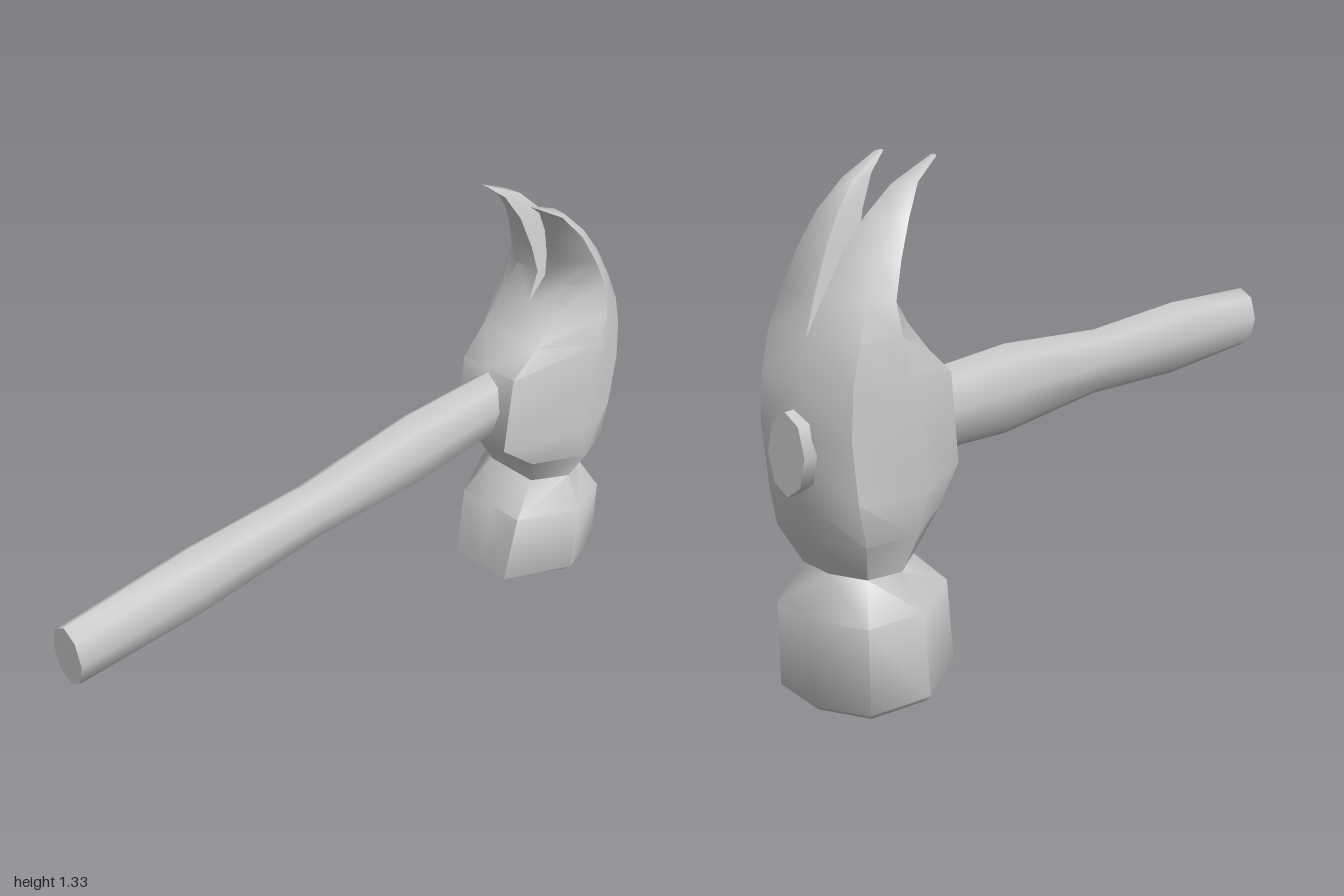
import * as THREE from 'three';
import { mergeVertices, toCreasedNormals } from 'three/addons/utils/BufferGeometryUtils.js';

const material = new THREE.MeshStandardMaterial({ color: 0xcccccc });

// Head sections, bottom to top:
// [front y, front z, back y, back z, front corner x, outer x, inner x]
const BODY = [
  [0.02, -0.555, 0.005, -0.925, 0.09, 0.185, 0],
  [0.035, -0.537, 0.02, -0.942, 0.1, 0.2, 0],
  [0.26, -0.57, 0.24, -0.94, 0.11, 0.2, 0],
  [0.35, -0.66, 0.34, -0.875, 0.08, 0.14, 0],
  [0.46, -0.61, 0.44, -0.93, 0.12, 0.195, 0],
  [0.55, -0.502, 0.55, -0.965, 0.095, 0.195, 0],
  [0.79, -0.525, 0.7, -0.982, 0.095, 0.195, 0],
  [0.86, -0.61, 0.83, -0.962, 0.1, 0.195, 0],
  [0.94, -0.685, 0.93, -0.925, 0.1, 0.195, 0],
];
const CLAW = [
  [1.02, -0.735, 1.02, -0.88, 0.09, 0.178, 0.014],
  [1.1, -0.718, 1.12, -0.825, 0.088, 0.163, 0.028],
  [1.2, -0.68, 1.2, -0.765, 0.086, 0.145, 0.044],
  [1.28, -0.628, 1.27, -0.692, 0.087, 0.118, 0.062],
  [1.33, -0.566, 1.325, -0.58, 0.09, 0.1, 0.078],
];

// Half section from the inner front corner, round the outside, to the inner back corner
function halfRing([yf, zf, yb, zb, corner, outer, inner]) {
  const at = (x, t) => [x, yf + (yb - yf) * t, zf + (zb - zf) * t];
  return [at(inner, 0), at(corner, 0), at(outer, 0.5), at(inner + (outer - inner) * 0.77, 0.9), at(inner, 1)];
}

function headGeometry() {
  const rings = [...BODY, ...CLAW].map(halfRing);
  const positions = [];
  const tri = (a, b, c) => {
    positions.push(...a, ...b, ...c);
    for (const p of [a, c, b]) positions.push(-p[0], p[1], p[2]); // mirrored side
  };
  const lastBody = BODY.length - 1;
  for (let i = 0; i < rings.length - 1; i++) {
    const lower = rings[i], upper = rings[i + 1];
    // The claws also get an inner wall that closes each ring
    const sides = i >= lastBody ? 5 : 4;
    for (let j = 0; j < sides; j++) {
      const k = (j + 1) % 5;
      tri(lower[j], lower[k], upper[k]);
      tri(lower[j], upper[k], upper[j]);
    }
  }
  // Striking face and claw tips
  const first = rings[0], last = rings[rings.length - 1];
  for (let j = 1; j < 4; j++) {
    tri(first[0], first[j + 1], first[j]);
    tri(last[0], last[j], last[j + 1]);
  }
  const geometry = new THREE.BufferGeometry();
  geometry.setAttribute('position', new THREE.Float32BufferAttribute(positions, 3));
  return toCreasedNormals(mergeVertices(geometry), 1.0);
}

// Handle sections, grip end to head end: [z, centre y, half width, half height]
const HANDLE = [
  [1, 0.667, 0.056, 0.093],
  [0.6, 0.667, 0.06, 0.109],
  [0.2, 0.667, 0.056, 0.093],
  [-0.2, 0.667, 0.062, 0.123],
  [-0.52, 0.667, 0.06, 0.108],
  [-1, 0.667, 0.06, 0.103],
];

function handleGeometry() {
  const rows = HANDLE.length - 1;
  const geometry = new THREE.CylinderGeometry(1, 1, 1, 8, rows).rotateX(Math.PI / 2);
  const p = geometry.attributes.position;
  for (let i = 0; i < p.count; i++) {
    const [z, y, w, h] = HANDLE[Math.round((0.5 - p.getZ(i)) * rows)];
    p.setXYZ(i, p.getX(i) * w, y + p.getY(i) * h, z);
  }
  return toCreasedNormals(geometry, 1.4);
}

export function createModel() {
  const model = new THREE.Group();
  model.name = 'clawHammer';
  const head = new THREE.Mesh(headGeometry(), material);
  head.name = 'head';
  const handle = new THREE.Mesh(handleGeometry(), material);
  handle.name = 'handle';
  model.add(head, handle);
  return model;
}
